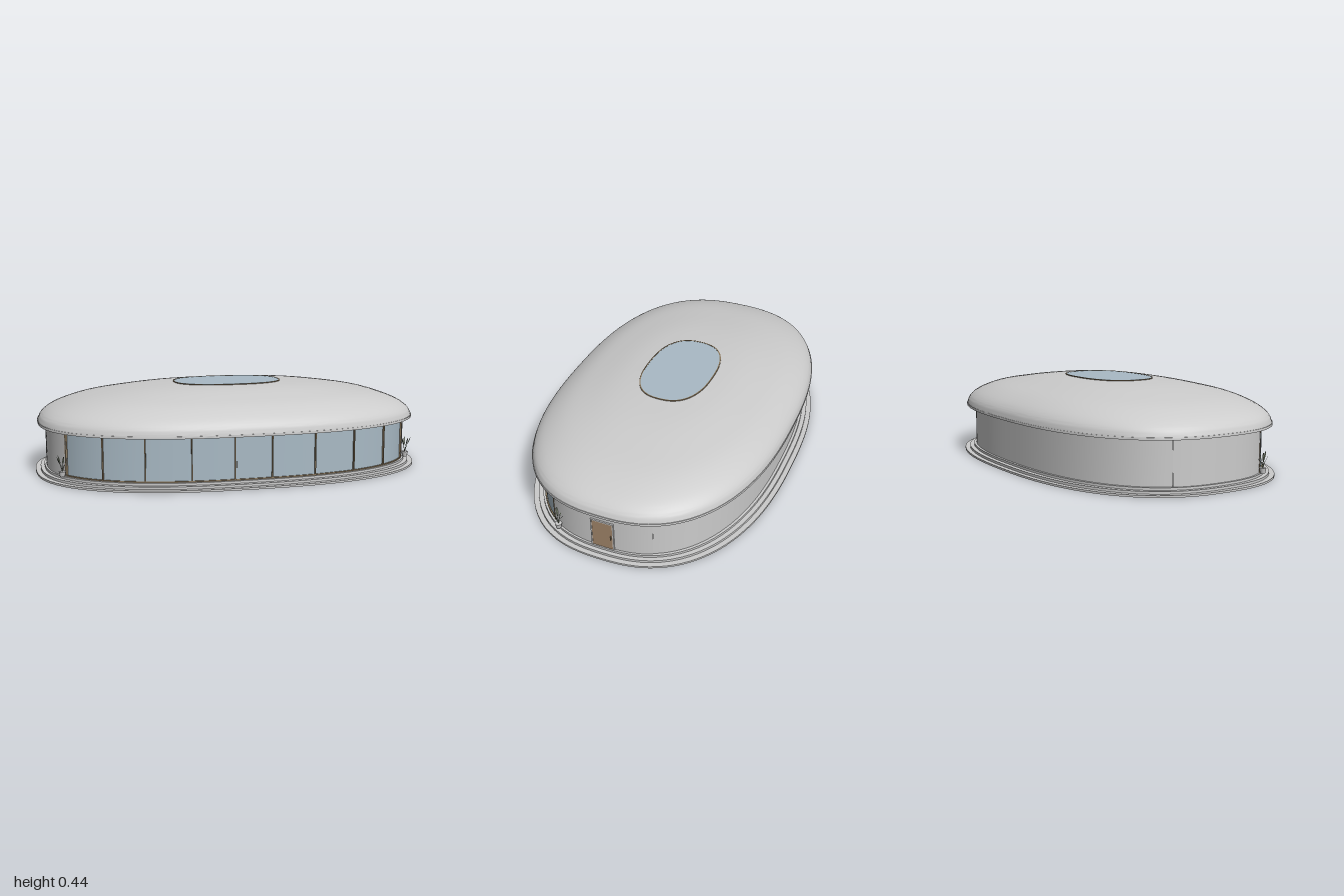
import * as THREE from 'three';
import { toCreasedNormals } from 'three/addons/utils/BufferGeometryUtils.js';

const N = 2.5; // superellipse exponent of the plan
const mat = (color, side = THREE.FrontSide) => new THREE.MeshStandardMaterial({ color, side });
const grey = mat(0xcccccc), greyBoth = mat(0xcccccc, THREE.DoubleSide);
const glass = mat(0xa9bac5, THREE.DoubleSide), bronze = mat(0x8c7a60), wood = mat(0xa3866a);
const leafMat = mat(0x77806c, THREE.DoubleSide);

// Plan point at a polar angle (0 = +x, PI/2 = +z)
function plan(a, rx, rz) {
  const c = Math.cos(a), s = Math.sin(a);
  const r = (Math.abs(c / rx) ** N + Math.abs(s / rz) ** N) ** (-1 / N);
  return [r * c, r * s];
}

// Sweep a profile of [rx, rz, y] around the plan, fully or over an arc
function sweep(profile, a0 = 0, a1 = Math.PI * 2, seg = 128) {
  const pos = [], idx = [], m = profile.length;
  for (let i = 0; i <= seg; i++) {
    const a = a0 + (a1 - a0) * i / seg;
    for (const [rx, rz, y] of profile) {
      const [x, z] = plan(a, rx, rz);
      pos.push(x, y, z);
    }
  }
  for (let i = 0; i < seg; i++) for (let j = 0; j < m - 1; j++) {
    const p = i * m + j, q = p + m;
    idx.push(p, p + 1, q, p + 1, q + 1, q);
  }
  const g = new THREE.BufferGeometry();
  g.setAttribute('position', new THREE.Float32BufferAttribute(pos, 3));
  g.setIndex(idx);
  return toCreasedNormals(g, 0.6);
}

// Closed rectangular band of thickness t
const band = (rx, rz, y0, y1, t, a0, a1, seg) => sweep([
  [rx, rz, y0], [rx, rz, y1], [rx - t, rz - t, y1], [rx - t, rz - t, y0], [rx, rz, y0],
], a0, a1, seg);

// Solid slab with the plan outline
function slab(rx, rz, y0, y1) {
  const pts = [];
  for (let i = 0; i < 128; i++) pts.push(new THREE.Vector2(...plan(i / 64 * Math.PI, rx, rz)));
  const g = new THREE.ExtrudeGeometry(new THREE.Shape(pts), { depth: y1 - y0, bevelEnabled: false });
  g.rotateX(-Math.PI / 2).translate(0, y0, 0);
  return toCreasedNormals(g, 0.6);
}

export function createModel() {
  const root = new THREE.Group();
  const add = (name, geo, material, parent = root) => {
    const mesh = new THREE.Mesh(geo, material);
    mesh.name = name;
    parent.add(mesh);
    return mesh;
  };
  const WX = 0.945, WZ = 0.577, FLOOR = 0.034, TOP = 0.256;

  // Stepped plinth
  add('plinthLower', slab(1, 0.635, 0, 0.01), grey);
  add('plinthMiddle', slab(0.975, 0.61, 0.01, 0.022), grey);
  add('plinthUpper', slab(0.955, 0.587, 0.022, FLOOR), grey);

  // Solid walls: two ends and a slightly inset back
  const aG = Math.atan2(0.3, 0.87), aB = Math.atan2(0.235, 0.903), PI = Math.PI;
  add('endWallLeft', band(WX, WZ, FLOOR, TOP, 0.02, -aB, aG, 32), greyBoth);
  add('endWallRight', band(WX, WZ, FLOOR, TOP, 0.02, PI - aG, PI + aB, 32), greyBoth);
  add('backWall', band(WX - 0.003, WZ - 0.003, FLOOR, TOP, 0.02, PI + aB, 2 * PI - aB, 80), greyBoth);

  // Curved glazing with rails and mullions
  add('frontGlass', band(WX - 0.006, WZ - 0.006, FLOOR, TOP, 0.006, aG, PI - aG, 80), glass);
  add('glazingSill', band(WX, WZ, FLOOR, FLOOR + 0.006, 0.014, aG, PI - aG, 80), bronze);
  add('glazingHead', band(WX, WZ, TOP - 0.006, TOP, 0.014, aG, PI - aG, 80), bronze);
  const mullions = new THREE.Group();
  mullions.name = 'mullions';
  root.add(mullions);
  for (const x of [-0.87, -0.71, -0.52, -0.305, -0.1, 0.085, 0.305, 0.52, 0.71, 0.87]) {
    const z = WZ * (1 - Math.abs(x / WX) ** N) ** (1 / N);
    const nx = Math.sign(x) * Math.abs(x / WX) ** (N - 1) / WX, nz = (z / WZ) ** (N - 1) / WZ;
    const post = add('mullion', new THREE.BoxGeometry(0.006, TOP - FLOOR, 0.014), bronze, mullions);
    post.rotation.y = Math.atan2(nx, nz);
    post.position.set(x, (TOP + FLOOR) / 2, z).addScaledVector(new THREE.Vector3(nx, 0, nz).normalize(), -0.005);
  }
  add('slidingDoorHandle', new THREE.BoxGeometry(0.004, 0.03, 0.008), bronze).position.set(-0.092, 0.11, WZ);

  // Domed roof with a lip and soffit
  const RX = 0.985, RZ = 0.622;
  const dome = new THREE.CatmullRomCurve3([
    [0.997, 0.262], [0.985, 0.288], [0.965, 0.308], [0.92, 0.334], [0.8, 0.374],
    [0.62, 0.405], [0.45, 0.426], [0.27, 0.437],
  ].map(([s, y]) => new THREE.Vector3(s, y, 0)));
  const profile = [[0.9, 0.256], [0.965, 0.256], [0.97, 0.25], [1, 0.25], [1, 0.262],
    ...dome.getPoints(32).map(p => [p.x, p.y])];
  add('roof', sweep(profile.map(([s, y]) => [RX * s, RZ * s, y])), grey);

  // Skylight
  add('skylightFrame', band(0.282, 0.18, 0.43, 0.44, 0.006), bronze);
  add('skylightGlass', slab(0.277, 0.175, 0.43, 0.439), glass);

  // Side door
  const door = new THREE.Group();
  door.name = 'sideDoor';
  door.position.set(WX, FLOOR, 0);
  root.add(door);
  add('doorPanel', new THREE.BoxGeometry(0.01, 0.152, 0.104), wood, door).position.set(0, 0.078, 0);
  for (const s of [-1, 1])
    add('doorJamb', new THREE.BoxGeometry(0.014, 0.16, 0.006), grey, door).position.set(0, 0.08, s * 0.055);
  add('doorHead', new THREE.BoxGeometry(0.014, 0.006, 0.116), grey, door).position.set(0, 0.157, 0);
  add('doorHandle', new THREE.BoxGeometry(0.008, 0.02, 0.004), bronze, door).position.set(0.008, 0.075, -0.044);

  // Potted plants beside the glazing
  const leafShape = new THREE.Shape();
  leafShape.moveTo(0, 0);
  leafShape.quadraticCurveTo(0.009, 0.03, 0, 0.05);
  leafShape.quadraticCurveTo(-0.009, 0.03, 0, 0);
  for (const [x, z] of [[0.912, 0.255], [-0.888, 0.3]]) {
    const plant = new THREE.Group();
    plant.name = 'pottedPlant';
    plant.position.set(x, FLOOR, z);
    root.add(plant);
    add('pot', new THREE.CylinderGeometry(0.017, 0.012, 0.026, 16), grey, plant).position.y = 0.013;
    for (let i = 0; i < 5; i++) {
      const turn = new THREE.Group();
      turn.rotation.y = i * PI * 0.4 + 0.3;
      plant.add(turn);
      const tilt = 0.2 + 0.1 * (i % 3);
      const stem = add('stem', new THREE.CylinderGeometry(0.0012, 0.0012, 0.036, 5).translate(0, 0.018, 0), leafMat, turn);
      stem.position.y = 0.024;
      stem.rotation.x = tilt;
      const leaf = add('leaf', new THREE.ShapeGeometry(leafShape, 6), leafMat, turn);
      leaf.position.set(0, 0.024 + 0.034 * Math.cos(tilt), 0.034 * Math.sin(tilt));
      leaf.rotation.x = tilt + 0.15;
    }
  }
  return root;
}
